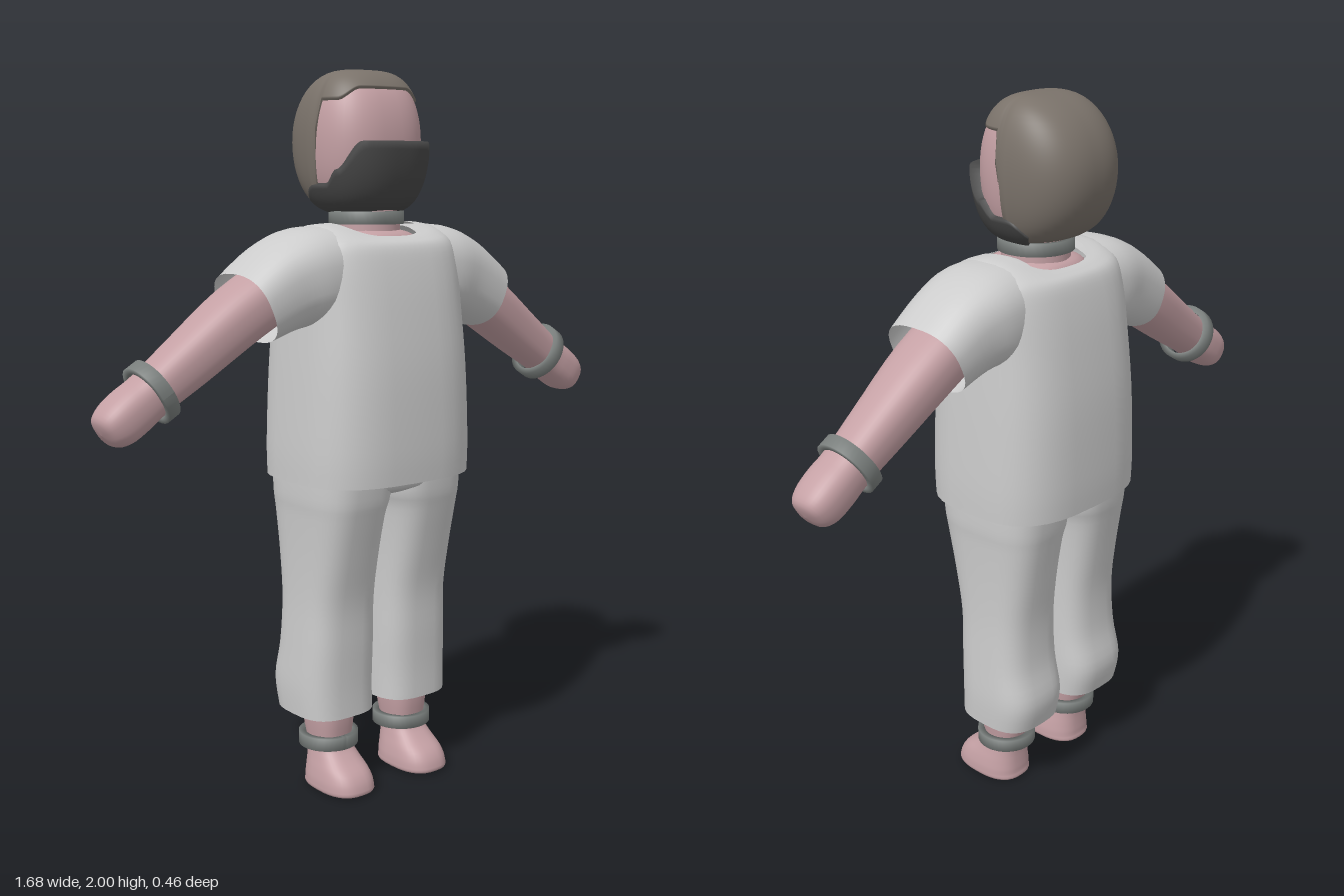
import * as THREE from 'three';

const mat = (color) => new THREE.MeshStandardMaterial({ color, side: THREE.DoubleSide });
const cloth = mat(0xcccccc), skin = mat(0xc4a0a4), hairMat = mat(0x7a726a);
const beardMat = mat(0x474747), bandMat = mat(0x7c817f);
const rad = THREE.MathUtils.degToRad;
const spow = (v, e) => Math.sign(v) * Math.pow(Math.abs(v), e);

// Indexed surface from fn(i, j); wrap joins the last j back to the first
function grid(ni, nj, fn, wrap) {
  const pos = [], idx = [], cols = wrap ? nj : nj + 1;
  for (let i = 0; i <= ni; i++) for (let j = 0; j < cols; j++) pos.push(...fn(i, j));
  for (let i = 0; i < ni; i++) for (let j = 0; j < nj; j++) {
    const k = (j + 1) % cols;
    const a = i * cols + j, b = i * cols + k, c = a + cols, d = b + cols;
    idx.push(a, c, b, b, c, d);
  }
  const g = new THREE.BufferGeometry();
  g.setAttribute('position', new THREE.Float32BufferAttribute(pos, 3));
  g.setIndex(idx);
  g.computeVertexNormals();
  return g;
}

// Loft rounded-square rings: [x, y, z, half width, half depth, heading in degrees, sag]
function loft(sections, n = 2.5, sub = 4, seg = 36) {
  const at = (t) => {
    const m = sections.length - 1, i = Math.min(Math.floor(t), m - 1), f = t - i;
    return [0, 1, 2, 3, 4, 5, 6].map((k) => {
      const v = (q) => sections[THREE.MathUtils.clamp(q, 0, m)][k] ?? (k === 5 ? 90 : 0);
      const p0 = v(i), p1 = v(i + 1), d0 = (p1 - v(i - 1)) / 2, d1 = (v(i + 2) - p0) / 2;
      const f2 = f * f, f3 = f2 * f;
      return (2 * f3 - 3 * f2 + 1) * p0 + (f3 - 2 * f2 + f) * d0 + (3 * f2 - 2 * f3) * p1 + (f3 - f2) * d1;
    });
  };
  return grid((sections.length - 1) * sub, seg, (i, j) => {
    const [x, y, z, w, d, head, sag] = at(i / sub);
    const a = (j / seg) * Math.PI * 2, tilt = rad(head - 90);
    const u = Math.max(w, 0) * spow(Math.cos(a), 2 / n), s = spow(Math.sin(a), 2 / n);
    return [x + u * Math.cos(tilt), y + u * Math.sin(tilt) - sag * s * s, z + Math.max(d, 0) * s];
  }, true);
}

// Flat band with a rectangular profile around the y axis
function band(inner, outer, h) {
  const p = [[inner, -h], [outer, -h], [outer, h], [inner, h], [inner, -h]];
  const pts = p.map(([r, y]) => new THREE.Vector2(r, y / 2));
  return new THREE.LatheGeometry(pts, 40);
}

function mirrored(geo) {
  const g = geo.clone().scale(-1, 1, 1), ix = g.index.array;
  for (let i = 0; i < ix.length; i += 3) [ix[i], ix[i + 1]] = [ix[i + 1], ix[i]];
  g.computeVertexNormals();
  return g;
}

// Point on the skull: az from the front, t from the crown
function skull(az, t, s = 1, bulge = 0) {
  const st = Math.max(Math.sin(t), 0), c = spow(Math.cos(az), 0.8);
  const low = t > Math.PI / 2;
  const wx = Math.pow(st, low ? 0.4 : 0.5);
  const wz = Math.pow(st, c > 0 ? (low ? 0.45 : 0.7) : (low ? 0.8 : 0.95));
  return [
    0.165 * s * wx * spow(Math.sin(az), 0.8),
    1.81 + 0.19 * s * Math.cos(t),
    -0.03 + s * wz * c * (c > 0 ? 0.15 : 0.19) + bulge * Math.max(c, 0),
  ];
}

export function createModel() {
  const model = new THREE.Group();
  const add = (name, geo, material) => {
    const m = new THREE.Mesh(geo, material);
    m.name = name;
    model.add(m);
  };
  const pair = (name, geo, material) => {
    add('left' + name, geo, material);
    add('right' + name, mirrored(geo), material);
  };
  const step = THREE.MathUtils.smoothstep;

  // Head, with hair and beard as shells following the skull
  add('head', grid(28, 48, (i, j) => skull(-(j / 48) * Math.PI * 2, Math.PI * i / 28, 0.97).map((v) => v), true)
    , skin);
  add('hair', grid(25, 120, (i, j) => {
    const az = Math.PI - (j / 120) * Math.PI * 2, d = Math.abs(az) * 180 / Math.PI;
    const edge = 0.74 + 0.22 * step(d, 30, 62) + 1.75 * step(d, 84, 93);
    return skull(az, edge * Math.min(i / 24, 1), i > 24 ? 0.93 : 1.005);
  }, true), hairMat);
  add('beard', grid(16, 60, (i, j) => {
    const f = Math.abs(j / 30 - 1), az = rad(118) * (1 - j / 30), d = f * 118;
    const top = 1.57 + 0.42 * step(d, 32, 66) + 0.22 * step(d, 66, 80) + 0.3 * step(d, 92, 118);
    const row = THREE.MathUtils.clamp((i - 1) / 14, 0, 1);
    const inner = i === 0 || i === 16 || j === 0 || j === 60;
    const t = top + (3.1 - top) * row;
    return skull(az, t, inner ? 0.93 : 1.02, inner ? 0 : 0.035 * (1 - 0.5 * row));
  }, false), beardMat);

  // Neck, upper chest and collar band
  add('neck', new THREE.CylinderGeometry(0.09, 0.095, 0.16, 32).translate(0, 1.6, -0.005), skin);
  add('chest', loft([[0, 1.48, 0, 0.17, 0.13], [0, 1.55, 0, 0.135, 0.12], [0, 1.575, 0, 0.08, 0.08],
    [0, 1.58, 0, 0, 0]]), skin);
  add('collarBand', band(0.088, 0.104, 0.035).translate(0, 1.608, -0.005), bandMat);

  // Shirt body, open at hem and neckline
  add('shirt', loft([
    [0, 0.9, 0, 0.27, 0.225], [0, 1.0, 0, 0.27, 0.228], [0, 1.2, 0, 0.262, 0.222],
    [0, 1.37, 0, 0.253, 0.203], [0, 1.48, 0, 0.25, 0.183], [0, 1.55, 0, 0.235, 0.165, 90, 0.015],
    [0, 1.588, 0, 0.19, 0.14, 90, 0.035], [0, 1.595, 0, 0.13, 0.12, 90, 0.035],
  ], 3), cloth);
  pair('Sleeve', loft([
    [0.1, 1.46, 0, 0.125, 0.14, 0], [0.22, 1.455, 0, 0.13, 0.148, -6],
    [0.31, 1.43, 0, 0.118, 0.135, -18], [0.405, 1.38, 0, 0.099, 0.127, -23],
  ], 2.5), cloth);

  // Trousers: seat plus two open legs
  add('trouserSeat', loft([
    [0, 0.835, -0.005, 0, 0], [0, 0.84, -0.005, 0.07, 0.07], [0, 0.865, -0.005, 0.2, 0.15],
    [0, 0.9, -0.005, 0.247, 0.178], [0, 1.05, -0.005, 0.25, 0.19],
  ], 2.8), cloth);
  pair('TrouserLeg', loft([
    [0.134, 0.225, -0.025, 0.116, 0.125], [0.135, 0.31, -0.033, 0.118, 0.132],
    [0.133, 0.42, -0.02, 0.115, 0.122], [0.131, 0.55, -0.015, 0.111, 0.122],
    [0.131, 0.68, -0.01, 0.111, 0.142], [0.13, 0.8, -0.006, 0.116, 0.165],
    [0.125, 0.86, -0.005, 0.125, 0.176], [0.123, 0.98, -0.005, 0.125, 0.185],
  ], 3), cloth);

  // Arms with mitten hands, and wrist bands
  pair('Arm', loft([
    [0.25, 1.46, -0.008, 0.08, 0.092, -30], [0.42, 1.365, -0.01, 0.078, 0.09, -34],
    [0.58, 1.255, -0.01, 0.069, 0.075, -34], [0.69, 1.18, -0.01, 0.06, 0.066, -33],
    [0.745, 1.143, -0.01, 0.062, 0.067, -32], [0.79, 1.112, -0.01, 0.058, 0.063, -32],
    [0.82, 1.094, -0.01, 0.04, 0.044, -32], [0.827, 1.09, -0.01, 0, 0, -32],
  ]), skin);
  pair('WristBand', band(0.068, 0.086, 0.036).rotateZ(rad(-121)).translate(0.682, 1.185, -0.012), bandMat);

  // Feet with ankles, and ankle bands
  pair('Foot', loft([
    [0.135, 0.003, 0.04, 0, 0], [0.135, 0.003, 0.04, 0.07, 0.1], [0.135, 0.025, 0.041, 0.078, 0.108],
    [0.135, 0.06, 0.032, 0.072, 0.098], [0.135, 0.095, 0.01, 0.062, 0.075],
    [0.135, 0.13, -0.006, 0.056, 0.062], [0.135, 0.2, -0.01, 0.064, 0.072], [0.135, 0.32, -0.012, 0.07, 0.08],
  ], 2.6), skin);
  pair('AnkleBand', band(0.066, 0.085, 0.036).translate(0.135, 0.138, -0.01), bandMat);

  return model;
}
